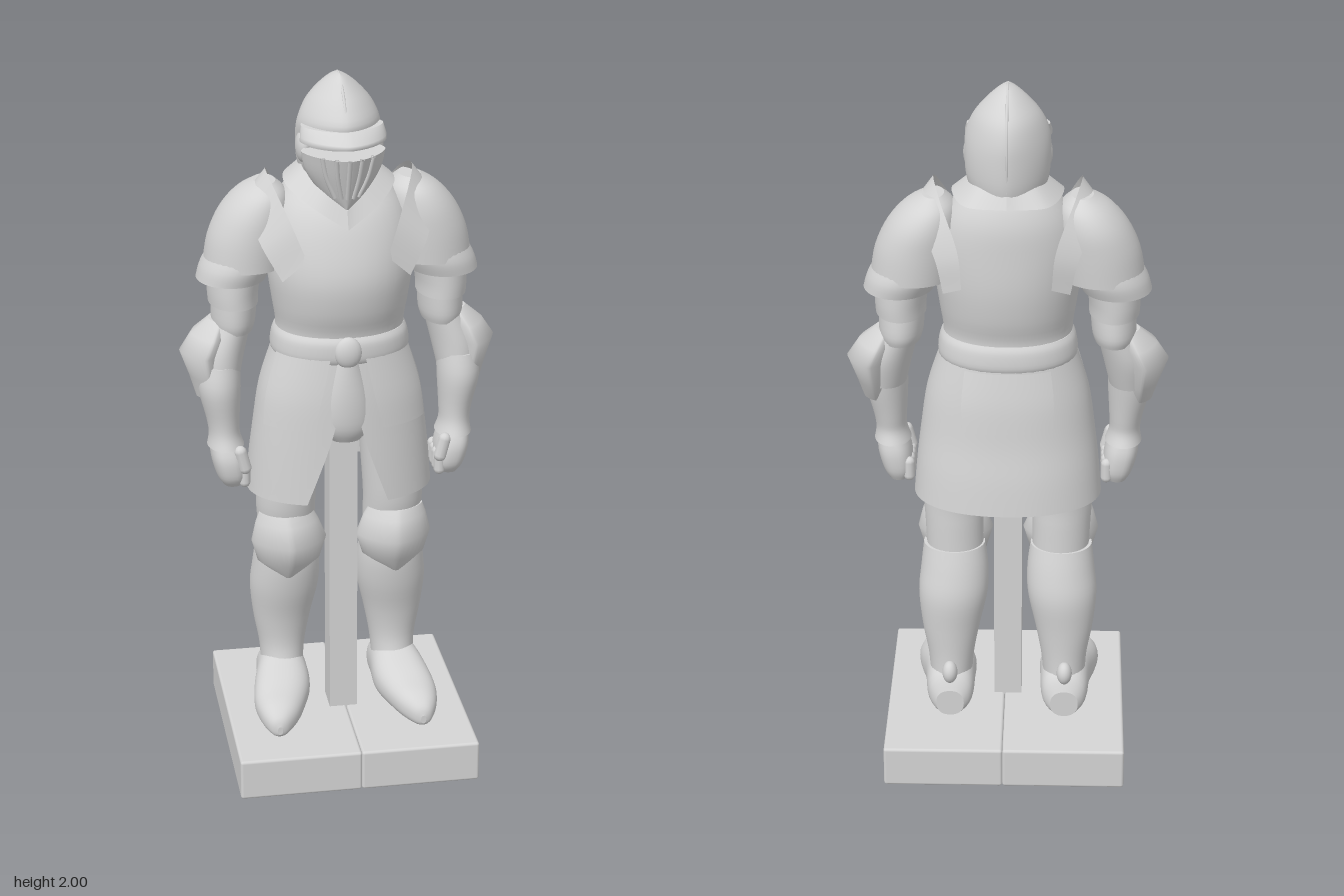
import * as THREE from 'three';
import { RoundedBoxGeometry } from 'three/addons/geometries/RoundedBoxGeometry.js';

const steel = new THREE.MeshStandardMaterial({ color: 0xd4d4d4, side: THREE.DoubleSide });
steel.name = 'steel grey';

// Resample sections smoothly with a Catmull-Rom rule
function smoothRows(rows, sub) {
  const out = [], last = rows.length - 1;
  for (let i = 0; i < last; i++) {
    const p = [rows[Math.max(i - 1, 0)], rows[i], rows[i + 1], rows[Math.min(i + 2, last)]];
    for (let k = 0; k < sub; k++) {
      const t = k / sub;
      out.push(p[1].map((b, c) => {
        const a = p[0][c], d = p[2][c], e = p[3][c];
        return b + 0.5 * t * (d - a + t * (2 * a - 5 * b + 4 * d - e + t * (3 * (b - d) + e - a)));
      }));
    }
  }
  out.push(rows[last]);
  return out;
}

// Skin over superellipse sections [t, x0, x1, v0, v1, (arc start, arc end)].
// t runs along y (v is z), or along z (v is y) when alongZ is set.
function loft(rows, { n = 2, sub = 4, seg = 36, alongZ = false } = {}) {
  const rings = smoothRows(rows, sub), open = rows[0].length > 5;
  const cols = open ? seg + 1 : seg, pos = [], idx = [];
  const put = (x, t, v) => (alongZ ? pos.push(x, v, t) : pos.push(x, t, v));
  const tri = (a, b, c) => (alongZ ? idx.push(a, c, b) : idx.push(a, b, c));
  const pw = c => Math.sign(c) * Math.abs(c) ** (2 / n);
  const ring = ([t, x0, x1, v0, v1, a0 = 0, a1 = Math.PI * 2]) => {
    for (let i = 0; i < cols; i++) {
      const a = a0 + ((a1 - a0) * i) / seg;
      put((x0 + x1) / 2 + ((x1 - x0) / 2) * pw(Math.cos(a)), t, (v0 + v1) / 2 + ((v1 - v0) / 2) * pw(Math.sin(a)));
    }
  };
  rings.forEach(ring);
  for (let j = 0; j < rings.length - 1; j++) {
    for (let i = 0; i < seg; i++) {
      const a = j * cols + i, b = j * cols + ((i + 1) % cols);
      tri(a, a + cols, b);
      tri(b, a + cols, b + cols);
    }
  }
  if (!open) {
    [rings[0], rings[rings.length - 1]].forEach((r, end) => {
      const s = pos.length / 3;
      ring(r);
      put((r[1] + r[2]) / 2, r[0], (r[3] + r[4]) / 2);
      for (let i = 0; i < seg; i++) {
        const a = s + i, b = s + ((i + 1) % seg);
        end ? tri(a, s + seg, b) : tri(a, b, s + seg);
      }
    });
  }
  return finish(pos, idx);
}

function finish(pos, idx) {
  const g = new THREE.BufferGeometry();
  g.setAttribute('position', new THREE.Float32BufferAttribute(pos, 3));
  g.setIndex(idx);
  g.computeVertexNormals();
  return g;
}

const curve = pts => new THREE.CatmullRomCurve3(pts.map(p => new THREE.Vector3(...p)));

// Curved strip of plate between two edge curves
function ribbon(inner, outer, seg = 28) {
  const A = curve(inner), B = curve(outer), pos = [], idx = [];
  for (let i = 0; i <= seg; i++) {
    pos.push(...A.getPoint(i / seg).toArray(), ...B.getPoint(i / seg).toArray());
    if (i < seg) idx.push(2 * i, 2 * i + 1, 2 * i + 2, 2 * i + 1, 2 * i + 3, 2 * i + 2);
  }
  return finish(pos, idx);
}

const tube = (pts, r) => new THREE.TubeGeometry(curve(pts), 20, r, 8);
const ball = (x, y, z, rx, ry, rz) => new THREE.SphereGeometry(1, 20, 14).scale(rx, ry, rz).translate(x, y, z);

function mirror(geo) {
  const g = geo.clone().scale(-1, 1, 1), a = g.index.array;
  for (let i = 0; i < a.length; i += 3) [a[i], a[i + 1]] = [a[i + 1], a[i]];
  return g;
}

export function createModel() {
  const model = new THREE.Group();
  const add = (name, geo) => {
    const m = new THREE.Mesh(geo, steel);
    m.name = name;
    model.add(m);
  };
  const pair = (name, geo) => {
    add('left ' + name, geo);
    add('right ' + name, mirror(geo));
  };
  const H = Math.PI / 2;

  // Stone base in two slabs meeting at a shallow seam, and the support post
  add('base slab left', new RoundedBoxGeometry(0.338, 0.12, 0.68, 3, 0.008).translate(0.178, 0.06, 0));
  add('base slab right', new RoundedBoxGeometry(0.346, 0.12, 0.68, 3, 0.008).translate(-0.164, 0.06, 0));
  add('support post', new THREE.BoxGeometry(0.08, 0.93, 0.09).translate(0, 0.575, 0.018));

  // Torso, belt and hips
  add('cuirass', loft([
    [1.24, -0.185, 0.185, -0.165, 0.13], [1.3, -0.178, 0.178, -0.16, 0.135], [1.37, -0.188, 0.188, -0.178, 0.158],
    [1.46, -0.2, 0.2, -0.19, 0.168], [1.56, -0.2, 0.2, -0.19, 0.146], [1.64, -0.175, 0.175, -0.185, 0.112],
    [1.7, -0.13, 0.13, -0.165, 0.06], [1.73, -0.09, 0.09, -0.14, 0.03]], { n: 2.1 }));
  add('belt', loft([
    [1.215, -0.185, 0.185, -0.165, 0.135], [1.235, -0.193, 0.193, -0.173, 0.144],
    [1.275, -0.188, 0.188, -0.17, 0.144], [1.295, -0.178, 0.178, -0.16, 0.134]], { n: 2.2 }));
  add('belt knot', ball(0, 1.255, 0.14, 0.038, 0.045, 0.022));
  add('hips', loft([[1.0, -0.18, 0.18, -0.14, 0.08], [1.1, -0.19, 0.19, -0.15, 0.1], [1.23, -0.18, 0.18, -0.16, 0.12]]));

  // Skirt with a front slit, and the plates over it
  const arc = s => [H + s, H + 2 * Math.PI - s];
  add('skirt', loft([
    [0.805, -0.263, 0.263, -0.215, 0.152, ...arc(0.41)], [0.9, -0.255, 0.255, -0.205, 0.15, ...arc(0.28)],
    [1.0, -0.243, 0.243, -0.19, 0.148, ...arc(0.16)], [1.12, -0.225, 0.225, -0.18, 0.145, ...arc(0.06)],
    [1.23, -0.19, 0.19, -0.168, 0.136, ...arc(0.02)]], { n: 2.2, seg: 64 }));
  pair('tasset', loft([
    [1.03, -0.248, 0.248, -0.19, 0.158, 0.45, 1.2], [1.12, -0.233, 0.233, -0.185, 0.155, 0.4, 1.28],
    [1.235, -0.195, 0.195, -0.175, 0.143, 0.35, 1.35]], { n: 2.2 }));
  add('back plate flap', loft([
    [1.05, -0.24, 0.24, -0.2, 0.15, 4.2, 5.2], [1.13, -0.228, 0.228, -0.192, 0.15, 4.15, 5.25],
    [1.22, -0.197, 0.197, -0.175, 0.145, 4.1, 5.3]], { n: 2.2 }));
  add('front flap', loft([
    [0.985, -0.04, 0.04, 0.07, 0.13], [1.03, -0.066, 0.066, 0.07, 0.152],
    [1.12, -0.062, 0.062, 0.07, 0.158], [1.23, -0.035, 0.035, 0.07, 0.15]]));

  // Neck and collar
  add('neck', new THREE.CylinderGeometry(0.085, 0.09, 0.12, 24).translate(0, 1.72, -0.06));
  pair('collar', ribbon(
    [[0, 1.655, 0.125], [0.06, 1.7, 0.085], [0.1, 1.74, 0], [0.08, 1.745, -0.12], [0, 1.745, -0.16]],
    [[0, 1.605, 0.142], [0.09, 1.66, 0.1], [0.15, 1.7, 0], [0.11, 1.7, -0.16], [0, 1.7, -0.185]]));

  // Helmet skull, crest, brow, visor and pivots
  add('helmet skull', loft([
    [1.7, -0.09, 0.09, -0.16, 0.03], [1.75, -0.11, 0.11, -0.17, 0.06], [1.815, -0.115, 0.115, -0.172, 0.08],
    [1.87, -0.112, 0.112, -0.168, 0.118], [1.92, -0.09, 0.09, -0.15, 0.09], [1.96, -0.056, 0.056, -0.112, 0.05],
    [1.985, -0.026, 0.026, -0.075, 0.02], [1.996, -0.004, 0.004, -0.04, -0.005]], { n: 1.7 }));
  add('helmet crest', tube([[0, 1.88, 0.108], [0, 1.92, 0.087], [0, 1.97, 0.035], [0, 1.995, -0.022],
    [0, 1.97, -0.098], [0, 1.92, -0.148], [0, 1.84, -0.17], [0, 1.74, -0.165]], 0.004));
  add('brow plate', loft([
    [1.832, -0.117, 0.117, -0.06, 0.166], [1.846, -0.117, 0.117, -0.06, 0.172], [1.87, -0.112, 0.112, -0.06, 0.122]],
  { n: 1.6, sub: 1 }));
  const visor = [
    [1.655, -0.012, 0.012, 0.07, 0.118], [1.69, -0.06, 0.06, 0, 0.13],
    [1.75, -0.102, 0.102, -0.05, 0.152], [1.805, -0.114, 0.114, -0.06, 0.172]];
  add('visor', loft(visor, { n: 1.5 }));
  const onVisor = ([y, , rx, z0, z1], x) =>
    [x, y, (z0 + z1) / 2 + ((z1 - z0) / 2) * (1 - Math.abs(x / rx) ** 1.5) ** (1 / 1.5)];
  for (let i = -2; i <= 2; i++) {
    add('visor bar', tube([onVisor(visor[1], i * 0.016), onVisor(visor[2], i * 0.028), onVisor(visor[3], i * 0.034)], 0.0065));
  }
  pair('visor pivot', ball(0.098, 1.8, -0.01, 0.022, 0.045, 0.04));

  // Shoulder plates with a raised flange
  pair('pauldron', loft([
    [1.47, 0.14, 0.372, -0.17, 0.073], [1.55, 0.13, 0.358, -0.172, 0.073], [1.62, 0.13, 0.325, -0.168, 0.066],
    [1.67, 0.14, 0.28, -0.145, 0.045], [1.7, 0.17, 0.23, -0.1, 0]]));
  pair('shoulder lame', loft([[1.43, 0.2, 0.392, -0.158, 0.064], [1.47, 0.18, 0.38, -0.166, 0.07], [1.52, 0.16, 0.35, -0.16, 0.062]]));
  pair('shoulder flange', ribbon(
    [[0.11, 1.52, 0.13], [0.15, 1.62, 0.09], [0.2, 1.735, -0.01], [0.18, 1.7, -0.11], [0.13, 1.58, -0.19], [0.12, 1.48, -0.2]],
    [[0.175, 1.46, 0.115], [0.23, 1.56, 0.078], [0.26, 1.655, -0.02], [0.235, 1.64, -0.12], [0.19, 1.55, -0.172], [0.17, 1.46, -0.18]]));

  // Arms
  pair('upper arm', loft([[1.36, 0.222, 0.36, -0.152, 0.056], [1.4, 0.22, 0.362, -0.154, 0.056], [1.47, 0.205, 0.36, -0.155, 0.055]]));
  pair('arm lame', loft([[1.28, 0.238, 0.346, -0.138, 0.036], [1.31, 0.23, 0.352, -0.146, 0.044], [1.38, 0.225, 0.35, -0.14, 0.045]]));
  pair('elbow', loft([[1.14, 0.28, 0.39, -0.1, 0.05], [1.22, 0.262, 0.39, -0.122, 0.045], [1.3, 0.242, 0.352, -0.13, 0.035]]));
  pair('elbow plate', loft([
    [1.09, 0.33, 0.4, -0.07, 0.015], [1.15, 0.32, 0.418, -0.115, 0.04], [1.22, 0.31, 0.443, -0.14, 0.05],
    [1.27, 0.3, 0.41, -0.138, 0.045], [1.31, 0.3, 0.362, -0.1, 0]], { n: 1.5, sub: 1 }));
  pair('forearm', loft([
    [0.95, 0.272, 0.375, -0.075, 0.068], [0.985, 0.283, 0.37, -0.062, 0.055], [1.03, 0.283, 0.376, -0.068, 0.054],
    [1.12, 0.278, 0.397, -0.085, 0.064], [1.19, 0.278, 0.392, -0.095, 0.05]]));
  pair('hand', loft([
    [0.835, 0.28, 0.335, -0.055, 0.045], [0.865, 0.268, 0.352, -0.068, 0.066],
    [0.92, 0.272, 0.366, -0.07, 0.07], [0.97, 0.29, 0.365, -0.055, 0.05]], { n: 2.5 }));
  for (let i = 0; i < 4; i++) {
    pair('finger', new THREE.CapsuleGeometry(0.016, 0.04, 4, 10).translate(0.277, 0.87, -0.05 + i * 0.032));
  }
  pair('thumb', new THREE.CapsuleGeometry(0.018, 0.05, 4, 10).rotateZ(-0.25).translate(0.283, 0.92, 0.056));

  // Legs
  pair('thigh', loft([
    [0.6, 0.07, 0.23, -0.1, 0.05], [0.7, 0.07, 0.235, -0.1, 0.06], [0.8, 0.068, 0.238, -0.102, 0.075], [1.05, 0.05, 0.22, -0.13, 0.08]]));
  pair('greave', loft([
    [0.18, 0.105, 0.225, -0.135, 0.04], [0.28, 0.098, 0.228, -0.13, 0.008], [0.38, 0.08, 0.245, -0.134, 0.014],
    [0.48, 0.058, 0.255, -0.14, 0.038], [0.56, 0.056, 0.248, -0.125, 0.05], [0.63, 0.065, 0.24, -0.105, 0.05]]));
  pair('knee plate', loft([
    [0.54, 0.13, 0.18, 0, 0.05], [0.59, 0.062, 0.24, -0.05, 0.085], [0.655, 0.043, 0.258, -0.075, 0.114],
    [0.71, 0.065, 0.245, -0.06, 0.09], [0.738, 0.08, 0.235, -0.04, 0.072]], { n: 1.5, sub: 1 }));

  // Feet and spurs
  pair('shoe', loft([
    [-0.152, 0.125, 0.205, 0.12, 0.2], [-0.12, 0.1, 0.23, 0.118, 0.25], [-0.04, 0.095, 0.24, 0.118, 0.275],
    [0.04, 0.095, 0.258, 0.118, 0.25], [0.11, 0.118, 0.265, 0.118, 0.222], [0.17, 0.145, 0.255, 0.118, 0.205],
    [0.21, 0.178, 0.235, 0.12, 0.18], [0.222, 0.2, 0.215, 0.13, 0.155]], { n: 2.3, alongZ: true }));
  pair('spur', ball(0.165, 0.255, -0.135, 0.022, 0.034, 0.028));

  return model;
}
